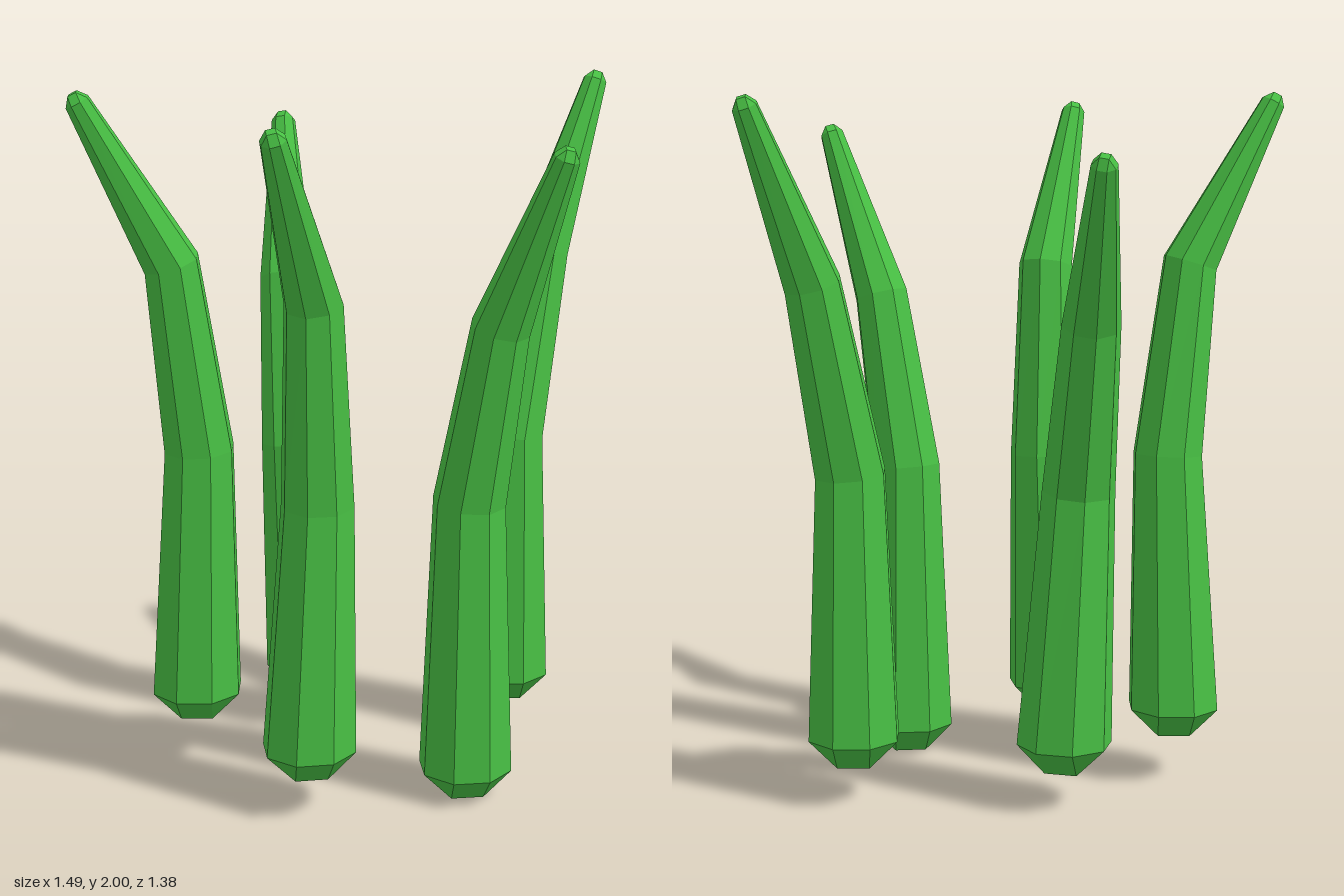
import * as THREE from 'three';

const SIDES = 8;
const RADII = [0.136, 0.104, 0.082, 0.036];

// Spines run base, lower bend, upper bend, tip; twist turns the octagon about the spine.
const STALKS = [
  { name: 'frontStalk', twist: 0,
    spine: [[-0.095, 0, 0.33], [-0.1, 0.88, 0.34], [-0.11, 1.39, 0.445], [-0.13, 1.893, 0.668]] },
  { name: 'leftStalk', twist: 7,
    spine: [[0.38, 0.1, 0.135], [0.375, 0.94, 0.145], [0.5, 1.48, 0.165], [0.725, 1.985, 0.203]] },
  { name: 'rightStalk', twist: -2,
    spine: [[-0.445, 0.1, 0.04], [-0.428, 0.9, 0.065], [-0.485, 1.475, 0.105], [-0.727, 1.96, 0.175]] },
  { name: 'backRightStalk', twist: 7,
    spine: [[-0.365, 0.13, -0.46], [-0.366, 0.96, -0.428], [-0.44, 1.51, -0.447], [-0.645, 1.99, -0.603]] },
  { name: 'backLeftStalk', twist: 22,
    spine: [[0.055, 0.1, -0.37], [0.02, 0.9, -0.388], [0.105, 1.38, -0.487], [0.312, 1.838, -0.672]] },
];

// A loop of eight points around a centre; a diamond loop merges them in pairs for the end caps.
function loop(center, direction, radius, twist, diamond = false) {
  const tilt = new THREE.Quaternion().setFromUnitVectors(new THREE.Vector3(0, 1, 0), direction);
  return Array.from({ length: SIDES }, (_, k) => {
    const degrees = (diamond ? Math.ceil(k / 2) * 90 : 22.5 + k * 45) + twist;
    const a = THREE.MathUtils.degToRad(degrees);
    return new THREE.Vector3(Math.cos(a) * radius, 0, Math.sin(a) * radius)
      .applyQuaternion(tilt).add(center);
  });
}

// Joins successive loops from bottom to top, leaving out collapsed triangles.
function skin(loops) {
  const positions = [];
  const triangle = (a, b, c) => {
    const area = b.clone().sub(a).cross(c.clone().sub(a)).length();
    if (area > 1e-7) positions.push(...a.toArray(), ...b.toArray(), ...c.toArray());
  };
  for (let i = 0; i < loops.length - 1; i++) {
    for (let k = 0; k < SIDES; k++) {
      const n = (k + 1) % SIDES;
      triangle(loops[i][k], loops[i + 1][k], loops[i][n]);
      triangle(loops[i][n], loops[i + 1][k], loops[i + 1][n]);
    }
  }
  const geometry = new THREE.BufferGeometry();
  geometry.setAttribute('position', new THREE.Float32BufferAttribute(positions, 3));
  geometry.computeVertexNormals();
  return geometry;
}

function stalkGeometry({ spine, twist }) {
  const [base, lower, upper, tip] = spine.map((p) => new THREE.Vector3(...p));
  const up = new THREE.Vector3(0, 1, 0);
  const dir = (a, b) => b.clone().sub(a).normalize();
  const tipDir = dir(upper, tip);
  const lowerDir = dir(base, lower).add(dir(lower, upper)).normalize();
  const upperDir = dir(lower, upper).add(tipDir).normalize();
  const baseRing = base.clone().addScaledVector(up, 0.08);
  const tipRing = tip.clone().addScaledVector(tipDir, -0.026);
  return skin([
    // faceted foot
    loop(base, up, 0, twist),
    loop(base, up, 0.065, twist, true),
    // tapering, bent body
    loop(baseRing, up, RADII[0], twist),
    loop(lower, lowerDir, RADII[1], twist),
    loop(upper, upperDir, RADII[2], twist),
    loop(tipRing, tipDir, RADII[3], twist),
    // faceted tip
    loop(tip, tipDir, 0.018, twist, true),
    loop(tip, tipDir, 0, twist),
  ]);
}

export function createModel() {
  const group = new THREE.Group();
  group.name = 'grassTuft';
  const green = new THREE.MeshStandardMaterial({ color: 0x48c044, flatShading: true });
  for (const stalk of STALKS) {
    const mesh = new THREE.Mesh(stalkGeometry(stalk), green);
    mesh.name = stalk.name;
    group.add(mesh);
  }
  return group;
}
